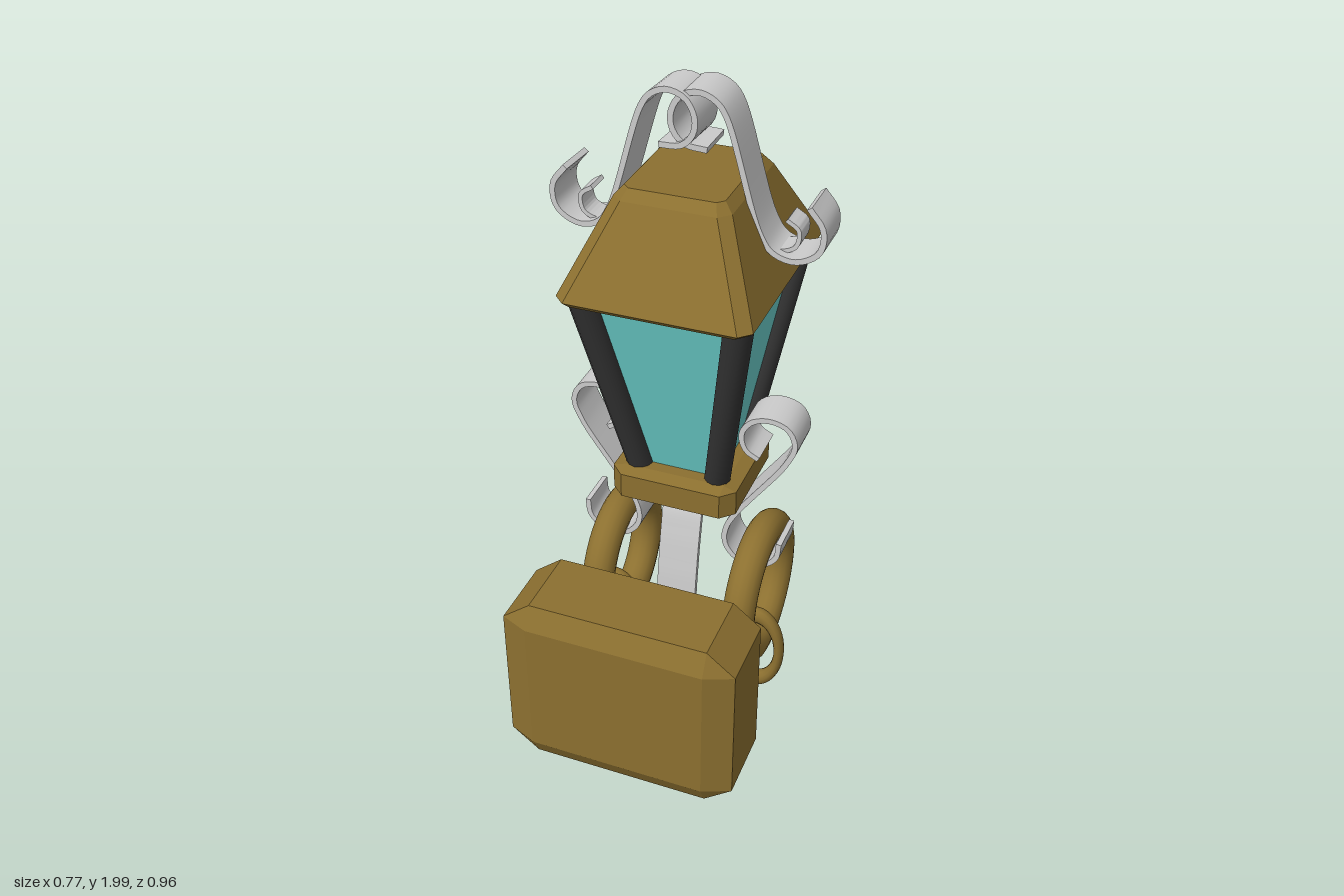
import * as THREE from 'three';
import { toCreasedNormals } from 'three/addons/utils/BufferGeometryUtils.js';
import { ConvexGeometry } from 'three/addons/geometries/ConvexGeometry.js';

const brass = new THREE.MeshStandardMaterial({ color: 0x8c7030 });
const dark = new THREE.MeshStandardMaterial({ color: 0x333333 });
const glass = new THREE.MeshStandardMaterial({ color: 0x6cd0cc });
const metal = new THREE.MeshStandardMaterial({ color: 0xcccccc });

const CX = 0.006, CZ = -0.143; // lantern axis

function add(parent, name, geometry, material, x = 0, y = 0, z = 0) {
  const mesh = new THREE.Mesh(geometry, material);
  mesh.name = name;
  mesh.position.set(x, y, z);
  parent.add(mesh);
  return mesh;
}

// Box with chamfered edges; bevels are given per axis
function bevelBox(hx, hy, hz, bx, by, bz) {
  const pts = [];
  for (const x of [-1, 1]) for (const y of [-1, 1]) for (const z of [-1, 1]) {
    pts.push(new THREE.Vector3(x * hx, y * (hy - by), z * (hz - bz)));
    pts.push(new THREE.Vector3(x * (hx - bx), y * hy, z * (hz - bz)));
    pts.push(new THREE.Vector3(x * (hx - bx), y * (hy - by), z * hz));
  }
  return new ConvexGeometry(pts);
}

// Convex solid from stacked rectangles [y, halfX, halfZ, cornerCut]
function stackedHull(layers) {
  const pts = [];
  for (const [y, hx, hz, c] of layers)
    for (const x of [-1, 1]) for (const z of [-1, 1]) {
      pts.push(new THREE.Vector3(x * hx, y, z * (hz - c)));
      if (c) pts.push(new THREE.Vector3(x * (hx - c), y, z * hz));
    }
  return new ConvexGeometry(pts);
}

// Bent flat strip following a path in the xy plane, centred on z = 0
function bentStrip(path, width, thickness = 0.016) {
  const curve = new THREE.CatmullRomCurve3(
    path.map(([x, y]) => new THREE.Vector3(x, y, 0)), false, 'centripetal');
  const outer = [], inner = [], n = 64;
  for (let i = 0; i <= n; i++) {
    const p = curve.getPointAt(i / n), t = curve.getTangentAt(i / n);
    const dx = -t.y * thickness / 2, dy = t.x * thickness / 2;
    outer.push(new THREE.Vector2(p.x + dx, p.y + dy));
    inner.unshift(new THREE.Vector2(p.x - dx, p.y - dy));
  }
  const geo = new THREE.ExtrudeGeometry(new THREE.Shape([...outer, ...inner]),
    { depth: width, bevelEnabled: false });
  geo.translate(0, 0, -width / 2);
  return toCreasedNormals(geo, 0.6);
}

// Cylinder between two points
function rod(parent, name, a, b, rTop, rBottom, material) {
  const dir = b.clone().sub(a);
  const mesh = add(parent, name,
    toCreasedNormals(new THREE.CylinderGeometry(rTop, rBottom, dir.length(), 12), 0.7), material);
  mesh.position.copy(a).add(b).multiplyScalar(0.5);
  mesh.quaternion.setFromUnitVectors(new THREE.Vector3(0, 1, 0), dir.normalize());
}

export function createModel() {
  const model = new THREE.Group();
  model.name = 'hangingLantern';

  // Lantern: roof, glass, corner posts, base
  const lantern = new THREE.Group();
  lantern.name = 'lantern';
  lantern.position.set(CX, 0, CZ);
  model.add(lantern);
  add(lantern, 'roof', stackedHull([
    [1.47, 0.255, 0.32, 0.03],
    [1.485, 0.269, 0.334, 0.032],
    [1.728, 0.16, 0.195, 0.03],
    [1.755, 0.136, 0.168, 0.018],
  ]), brass);
  add(lantern, 'glass', stackedHull([[0.87, 0.117, 0.11, 0], [1.475, 0.217, 0.26, 0]]), glass);
  for (const sx of [-1, 1]) for (const sz of [-1, 1])
    rod(lantern, 'post', new THREE.Vector3(sx * 0.115, 0.86, sz * 0.11),
      new THREE.Vector3(sx * 0.218, 1.48, sz * 0.26), 0.041, 0.038, dark);
  add(lantern, 'base', bevelBox(0.187, 0.05, 0.187, 0.038, 0.012, 0.038), brass, 0, 0.83, 0);

  // Large hanging block at the front
  add(model, 'block', bevelBox(0.343, 0.282, 0.141, 0.082, 0.065, 0.034), brass, 0.008, 0.383, 0.338);

  // Scroll hooks, drawn for the +x side and mirrored
  const topHook = [[0.335, 1.73], [0.374, 1.675], [0.366, 1.61], [0.305, 1.575], [0.243, 1.59],
    [0.207, 1.64], [0.112, 1.935], [0.085, 1.972], [0.04, 1.99], [-0.01, 1.975], [-0.036, 1.93],
    [-0.032, 1.885], [0, 1.85], [0.062, 1.842]];
  const roofHook = [[0.27, 1.675], [0.303, 1.65], [0.297, 1.605], [0.262, 1.587], [0.2, 1.588]];
  const sideHook = [[0.23, 0.94], [0.192, 0.963], [0.178, 1.015], [0.206, 1.06], [0.26, 1.077],
    [0.313, 1.06], [0.335, 1.01], [0.312, 0.945], [0.142, 0.68], [0.14, 0.61], [0.185, 0.562],
    [0.25, 0.562], [0.295, 0.6], [0.303, 0.655]];
  for (const s of [-1, 1]) {
    const flip = path => path.map(([x, y]) => [s * x, y]);
    const side = s > 0 ? 'left' : 'right';
    const top = add(model, side + 'TopHook', bentStrip(flip(topHook), 0.125), metal,
      0, 0, s > 0 ? -0.137 : -0.125);
    if (s < 0) top.rotation.y = -0.06;
    add(model, side + 'RoofHook', bentStrip(flip(roofHook), 0.075, 0.012), metal, 0, 0, -0.138);
    add(model, side + 'SideHook', bentStrip(flip(sideHook), 0.127), metal, 0, 0, -0.132);

    // Large ring hanging from the hook, with an oval link below it
    const ring = add(model, side + 'Ring', new THREE.TorusGeometry(0.197, 0.049, 16, 48), brass,
      s * 0.225, 0.41, -0.148);
    ring.rotation.y = Math.PI / 2;
    const link = add(model, side + 'Link', new THREE.TorusGeometry(0.131, 0.028, 12, 40), brass,
      s > 0 ? 0.225 : -0.24, s > 0 ? 0.165 : 0.182, -0.147);
    link.scale.set(0.57, 0.99, 0.78);
    if (s < 0) link.rotation.z = 0.15;
  }

  // Centre hook, bent in the side plane, holding the block; points are [z, y]
  const centreHook = bentStrip([[-0.265, 0.64], [-0.275, 0.695], [-0.225, 0.75], [-0.16, 0.75],
    [-0.105, 0.7], [-0.078, 0.61], [-0.055, 0.48], [-0.025, 0.29], [0.025, 0.21], [0.095, 0.184],
    [0.16, 0.22], [0.187, 0.29], [0.162, 0.365]], 0.123);
  centreHook.rotateY(-Math.PI / 2);
  add(model, 'centreHook', centreHook, metal, -0.005, 0, 0);

  return model;
}
